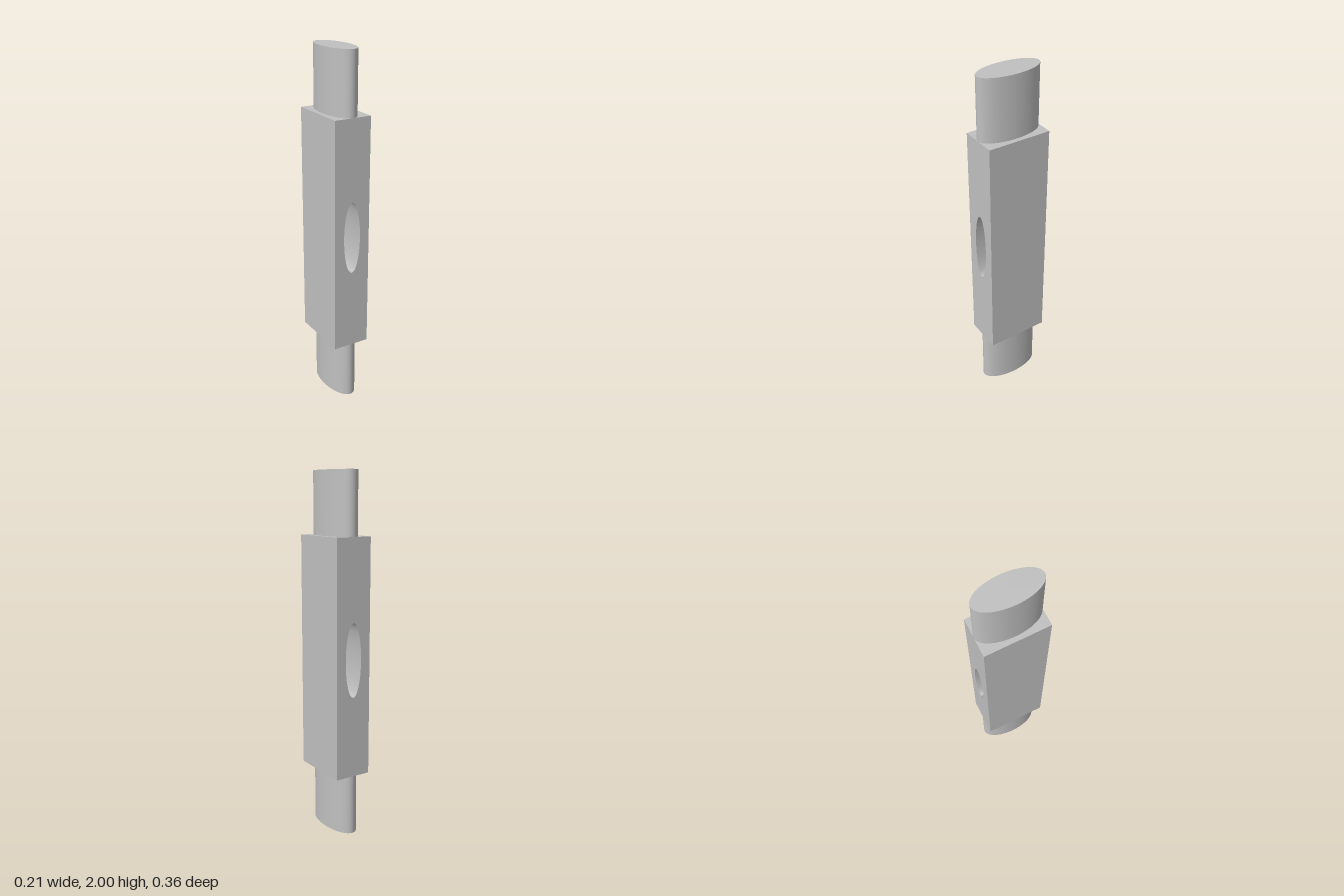
import * as THREE from 'three';
import { toCreasedNormals } from 'three/addons/utils/BufferGeometryUtils.js';

const HALF_W = 0.106, HALF_D = 0.178; // body half width and half depth
const BODY_BOTTOM = 0.342, BODY_TOP = 1.66;
const PEG_RX = 0.08;

export function createModel() {
  const group = new THREE.Group();
  const grey = new THREE.MeshStandardMaterial({ color: 0xc0c0c0 });
  grey.name = 'light grey';

  // Rectangular body with an elliptical hole running front to back
  const outline = new THREE.Shape();
  outline.moveTo(-HALF_W, BODY_BOTTOM);
  outline.lineTo(HALF_W, BODY_BOTTOM);
  outline.lineTo(HALF_W, BODY_TOP);
  outline.lineTo(-HALF_W, BODY_TOP);
  outline.closePath();
  const hole = new THREE.Path();
  hole.absellipse(0, 1.003, 0.05, 0.205, 0, Math.PI * 2, true);
  outline.holes.push(hole);
  const bodyGeometry = new THREE.ExtrudeGeometry(outline, {
    depth: HALF_D * 2, bevelEnabled: false, curveSegments: 64,
  });
  bodyGeometry.translate(0, 0, -HALF_D);
  const body = new THREE.Mesh(toCreasedNormals(bodyGeometry, 0.6), grey);
  body.name = 'body';
  group.add(body);

  // Elliptical pegs at both ends
  const addPeg = (name, y0, y1) => {
    const geometry = new THREE.CylinderGeometry(1, 1, y1 - y0, 64);
    geometry.scale(PEG_RX, 1, HALF_D);
    const peg = new THREE.Mesh(geometry, grey);
    peg.position.y = (y0 + y1) / 2;
    peg.name = name;
    group.add(peg);
  };
  addPeg('bottomPeg', 0, BODY_BOTTOM);
  addPeg('topPeg', BODY_TOP, 2);

  return group;
}
